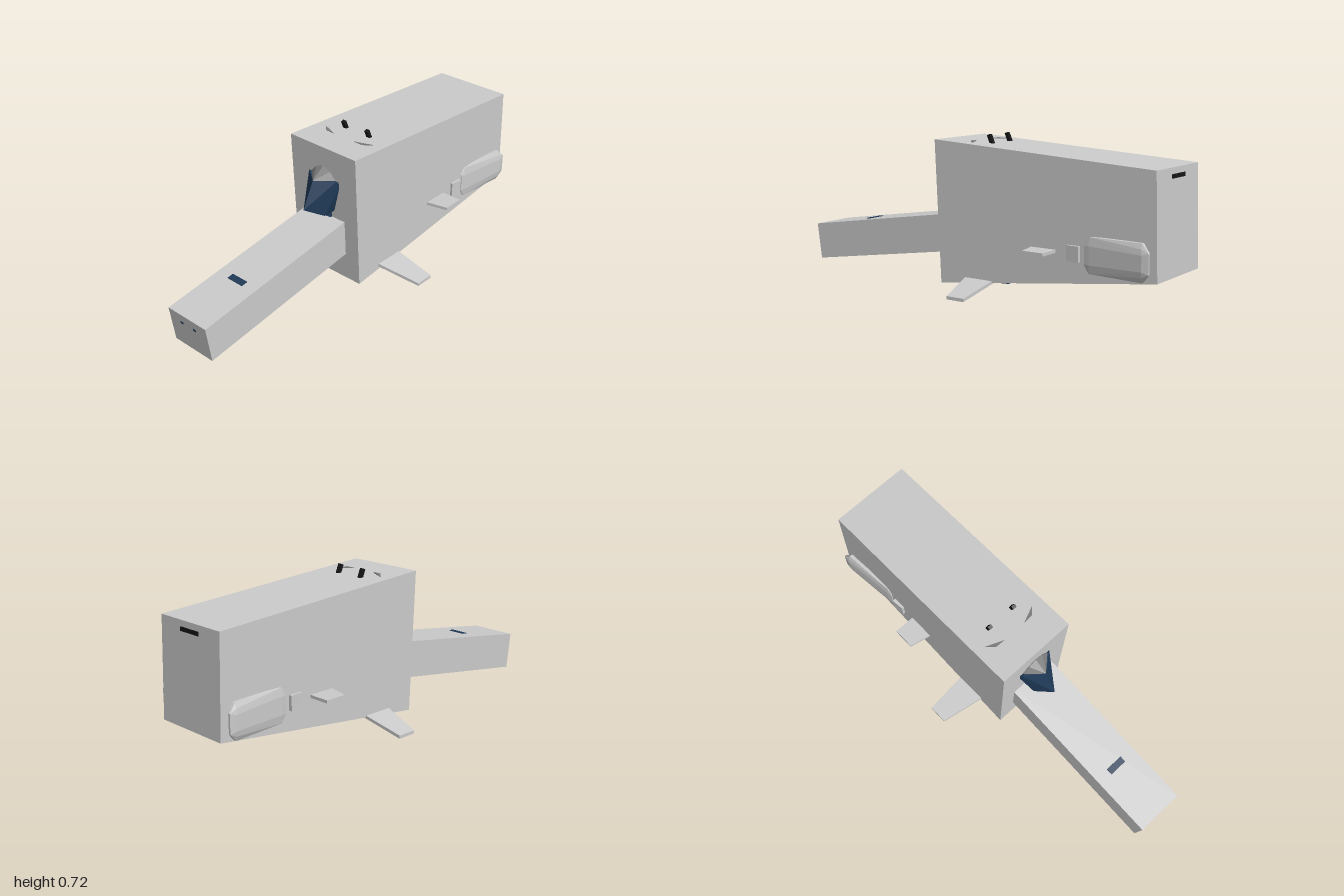
import * as THREE from 'three';
import { ConvexGeometry } from 'three/addons/geometries/ConvexGeometry.js';

const material = (color) => new THREE.MeshStandardMaterial({ color, flatShading: true });
const grey = material(0xcccccc);
const dimGrey = material(0x808080);
const navy = material(0x1f3a57);
const black = material(0x151515);

export function createModel() {
  const model = new THREE.Group();

  const add = (name, geometry, mat) => {
    const mesh = new THREE.Mesh(geometry, mat);
    mesh.name = name;
    model.add(mesh);
    return mesh;
  };

  // Flat-faced solid spanned by its corners
  const solid = (name, mat, points) =>
    add(name, new ConvexGeometry(points.map((p) => new THREE.Vector3(...p))), mat);

  // Solid symmetric about x = 0, given the corners of its left half
  const symmetric = (name, mat, half) =>
    solid(name, mat, half.flatMap(([x, y, z]) => (x ? [[x, y, z], [-x, y, z]] : [[x, y, z]])));

  // The same solid on both sides
  const pair = (name, mat, points) => {
    solid(name + 'Left', mat, points);
    solid(name + 'Right', mat, points.map(([x, y, z]) => [-x, y, z]));
  };

  // Side profile of [z, y] corners, given a half width
  const slab = (name, mat, w, profile) => symmetric(name, mat, profile.map(([z, y]) => [w, y, z]));

  const box = (name, mat, size, position, tilt = 0) => {
    const mesh = add(name, new THREE.BoxGeometry(...size), mat);
    mesh.position.set(...position);
    mesh.rotation.x = tilt;
  };

  // Main hull and long nose
  slab('hull', grey, 0.198, [[0.155, 0.693], [-0.985, 0.623], [-1, 0.156], [0.12, 0.018]]);
  slab('nose', grey, 0.118, [[1, 0.205], [0.975, 0.026], [0.1, 0.16], [0.1, 0.341]]);

  // Cockpit: prow-shaped shield, rounded hood and neck below
  symmetric('cockpit', navy, [
    [0.085, 0.546, 0.155], [0.097, 0.535, 0.14], [0.095, 0.515, 0.14], [0, 0.546, 0.22],
    [0, 0.418, 0.284], [0.057, 0.375, 0.204], [0.057, 0.375, 0.12],
  ]);
  symmetric('cockpitHood', dimGrey, [
    [0, 0.595, 0.153], [0.042, 0.58, 0.153], [0.074, 0.546, 0.153], [0, 0.546, 0.22],
    [0.074, 0.546, 0.13], [0, 0.595, 0.13],
  ]);
  slab('cockpitNeck', navy, 0.039, [[0.2, 0.376], [0.14, 0.33], [0.1, 0.33], [0.1, 0.376]]);

  // Nose markings
  box('noseTopSlot', navy, [0.09, 0.006, 0.032], [0, 0.25, 0.705], 0.15);
  for (const s of [-1, 1]) {
    box('noseFrontSlot', navy, [0.016, 0.01, 0.006], [s * 0.04, 0.16, 0.993], 0.14);
    box('noseBottomSlot', navy, [0.035, 0.006, 0.03], [s * 0.075, 0.086, 0.585], 0.15);
    // Roof pegs and rear underside slots
    box('roofPeg', black, [0.02, 0.05, 0.016], [s * 0.072, 0.694, -0.077], 0.4);
    box('bottomSlot', dimGrey, [0.05, 0.006, 0.022], [s * 0.076, 0.137, -0.85], 0.122);
  }
  box('rearSlot', black, [0.12, 0.018, 0.008], [0, 0.586, -0.987], 0.03);

  // Slanted roof marks
  pair('roofMark', dimGrey, [
    [0.145, 0.677, -0.025], [0.06, 0.688, 0.012], [0.11, 0.686, 0.01],
    [0.145, 0.685, -0.025], [0.06, 0.687, 0.012], [0.11, 0.689, 0.01],
  ]);

  // Belly plates
  symmetric('bellyPlateFront', navy, [
    [0.05, 0.012, 0.075], [0.05, 0.026, 0.075], [0.05, 0.021, -0.16],
    [0.02, 0.048, -0.23], [0.02, 0.065, -0.23], [0.05, 0.055, -0.16],
  ]);
  symmetric('bellyPlateRear', navy, [
    [0.02, 0.046, -0.22], [0.02, 0.065, -0.22], [0.05, 0.064, -0.31],
    [0.05, 0.064, -0.42], [0.04, 0.088, -0.45], [0.05, 0.075, -0.31],
  ]);

  // Drooping front fins
  const fin = (corners, thick) => corners.flatMap(([x, y, z]) => [[x, y, z], [x, y - thick, z]]);
  pair('frontFin', grey, fin([
    [0.18, 0.066, -0.17], [0.18, 0.066, -0.015], [0.404, 0.019, -0.07], [0.404, 0.019, -0.163],
  ], 0.015));
  // Level middle fins
  pair('middleFin', grey, fin([
    [0.18, 0.246, -0.51], [0.18, 0.246, -0.378], [0.302, 0.246, -0.405], [0.302, 0.246, -0.51],
  ], 0.014));

  // Rear pods, flaring outward toward the back, with a block ahead of each
  pair('podBlock', grey, fin([
    [0.19, 0.275, -0.57], [0.19, 0.275, -0.633], [0.215, 0.275, -0.633], [0.209, 0.275, -0.57],
  ], 0.07));
  pair('rearPod', grey, [1, -1].flatMap((s) => [
    [0.19, 0.24 + s * 0.065, -0.655], [0.203, 0.24 + s * 0.04, -0.655],
    [0.19, 0.24 + s * 0.083, -0.68], [0.202, 0.24 + s * 0.08, -0.68],
    [0.208, 0.24 + s * 0.83 * 0.05, -0.68],
    [0.206, 0.24 + s * 0.083, -0.94], [0.222, 0.24 + s * 0.083, -0.94],
    [0.232, 0.24 + s * 0.06, -0.94], [0.237, 0.24 + s * 0.035, -0.945],
    [0.222, 0.24 + s * 0.045, -0.975], [0.232, 0.24 + s * 0.045, -0.975],
  ]));

  return model;
}
